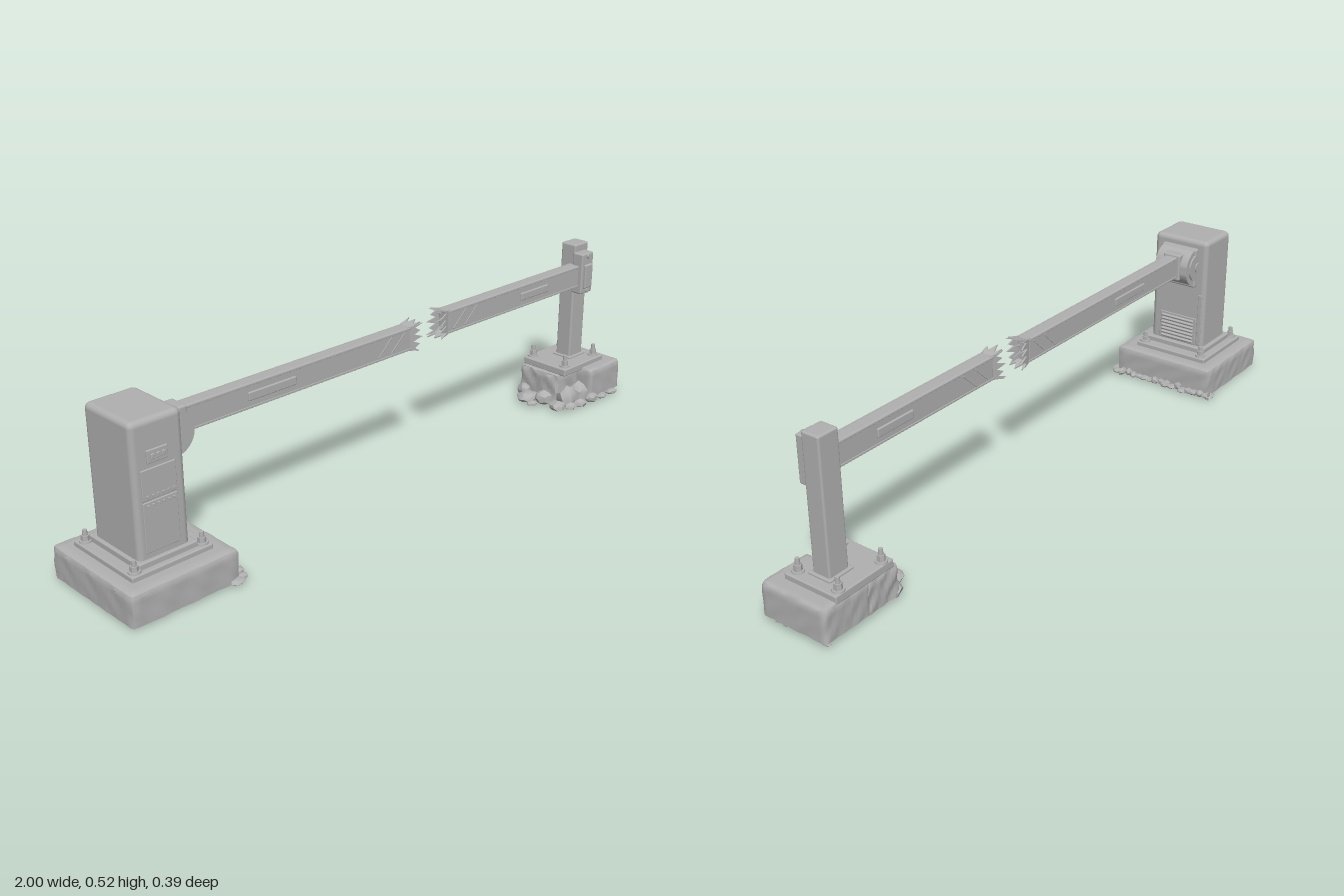
import * as THREE from 'three';
import { toCreasedNormals } from 'three/addons/utils/BufferGeometryUtils.js';
import { RoundedBoxGeometry } from 'three/addons/geometries/RoundedBoxGeometry.js';

export function createModel() {
  const root = new THREE.Group();
  root.name = 'brokenBarrierGate';
  const grey = new THREE.MeshStandardMaterial({ color: 0xb0b0b0 });
  grey.name = 'plain grey';

  let seed = 7;
  const rnd = () => (seed = (seed * 16807) % 2147483647) / 2147483647;

  function add(parent, name, geo, x = 0, y = 0, z = 0) {
    const m = new THREE.Mesh(geo, grey);
    m.name = name;
    m.position.set(x, y, z);
    parent.add(m);
    return m;
  }
  function group(name) {
    const g = new THREE.Group();
    g.name = name;
    root.add(g);
    return g;
  }
  // rounded box given by its limits
  function box(parent, name, x0, x1, y0, y1, z0, z1, r = 0.004) {
    const geo = new RoundedBoxGeometry(x1 - x0, y1 - y0, z1 - z0, 2, r);
    return add(parent, name, geo, (x0 + x1) / 2, (y0 + y1) / 2, (z0 + z1) / 2);
  }
  // smooth lumpiness that depends on position only, so seams stay closed
  const lump = (x, y, z) =>
    Math.sin(x * 61 + y * 37) * Math.cos(z * 53 + y * 71) * 0.6 + Math.sin(x * 131 + z * 117 + y * 90) * 0.4;

  // concrete block with worn edges and chipped sides
  function concrete(parent, name, x0, x1, y0, y1, z0, z1, rough) {
    const w = x1 - x0, h = y1 - y0, d = z1 - z0;
    const geo = new THREE.BoxGeometry(w, h, d, 22, 8, 22);
    const p = geo.attributes.position, v = new THREE.Vector3(), c = new THREE.Vector3(), r = 0.012;
    for (let i = 0; i < p.count; i++) {
      v.fromBufferAttribute(p, i);
      const n = lump(v.x + x0, v.y, v.z);
      c.set(THREE.MathUtils.clamp(v.x, r - w / 2, w / 2 - r),
        THREE.MathUtils.clamp(v.y, -h / 2, h / 2 - r),
        THREE.MathUtils.clamp(v.z, r - d / 2, d / 2 - r));
      const off = v.clone().sub(c);
      if (off.length() > r) off.setLength(r);
      const side = Math.abs(v.x) > w / 2 - 1e-4 || Math.abs(v.z) > d / 2 - 1e-4;
      v.copy(c).add(off);
      if (side) {
        v.x *= 1 - rough * (1 - n) / w;
        v.z *= 1 - rough * (1 - n) / d;
      }
      p.setXYZ(i, v.x, v.y, v.z);
    }
    return add(parent, name, toCreasedNormals(geo, 0.6), (x0 + x1) / 2, (y0 + y1) / 2, (z0 + z1) / 2);
  }
  // angular lump of rubble
  function rock(parent, x, z, sx, sy, sz, y = sy * 0.75) {
    const geo = new THREE.IcosahedronGeometry(1, 1);
    const p = geo.attributes.position, k = rnd() * 9;
    for (let i = 0; i < p.count; i++) {
      const a = p.getX(i), b = p.getY(i), c = p.getZ(i);
      const s = 0.9 + 0.14 * Math.sin(a * 4 + k) * Math.cos(c * 5 - k + b * 3);
      p.setXYZ(i, a * s * sx, Math.max(b * s, -0.7) * sy, c * s * sz);
    }
    const m = add(parent, 'rubble', toCreasedNormals(geo, 0.5), x, y, z);
    m.rotation.y = rnd() * 0.8 - 0.4;
  }
  // anchor bolt: washer, hex nut and rounded stud
  function bolt(parent, x, y, z, h = 0.04) {
    const g = new THREE.Group();
    g.name = 'anchorBolt';
    g.position.set(x, y, z);
    parent.add(g);
    add(g, 'washer', new THREE.CylinderGeometry(0.016, 0.017, 0.006, 16), 0, 0.003, 0);
    add(g, 'nut', toCreasedNormals(new THREE.CylinderGeometry(0.011, 0.012, h * 0.55, 6), 0.5), 0, h * 0.3, 0);
    add(g, 'stud', new THREE.CylinderGeometry(0.006, 0.008, h, 12), 0, h / 2, 0);
  }

  // ---- left cabinet and its footing
  const cab = group('cabinet');
  concrete(cab, 'footing', -1, -0.675, 0, 0.09, -0.175, 0.175, 0.004);
  box(cab, 'basePlate', -0.96, -0.72, 0.085, 0.104, -0.13, 0.125);
  box(cab, 'plinth', -0.93, -0.755, 0.1, 0.12, -0.105, 0.11);
  box(cab, 'housing', -0.92, -0.77, 0.105, 0.48, -0.092, 0.1, 0.016);
  for (const x of [-0.94, -0.74]) for (const z of [-0.105, 0.105]) bolt(cab, x, 0.103, z, 0.034);
  // front door panels and control plate
  box(cab, 'upperDoor', -0.9, -0.8, 0.275, 0.355, 0.098, 0.104, 0.002);
  box(cab, 'lowerDoor', -0.9, -0.8, 0.135, 0.27, 0.098, 0.103, 0.002);
  box(cab, 'controlPlate', -0.88, -0.82, 0.368, 0.402, 0.098, 0.105, 0.002);
  for (const x of [-0.865, -0.849, -0.833]) box(cab, 'button', x - 0.005, x + 0.005, 0.378, 0.392, 0.103, 0.108, 0.002);
  for (const y of [0.26, 0.285]) for (let i = 0; i < 6; i++)
    box(cab, 'doorRib', -0.89 + i * 0.015, -0.882 + i * 0.015, y - 0.003, y + 0.003, 0.101, 0.106, 0.001);
  // vent grille on the inner side
  box(cab, 'ventFrame', -0.772, -0.767, 0.122, 0.215, -0.066, 0.068, 0.002);
  for (let i = 0; i < 7; i++) {
    const slat = box(cab, 'ventSlat', -0.77, -0.761, 0.128 + i * 0.012, 0.135 + i * 0.012, -0.058, 0.06, 0.002);
    slat.rotation.z = -0.4;
  }
  box(cab, 'sidePanel', -0.772, -0.767, 0.125, 0.3, -0.084, -0.07, 0.002);

  // ---- pivot drum carrying the arm
  const pivot = group('pivot');
  box(pivot, 'pivotMount', -0.79, -0.755, 0.325, 0.455, -0.06, 0.066, 0.006);
  const drum = (name, r, z0, z1) => {
    const m = add(pivot, name, toCreasedNormals(new THREE.CylinderGeometry(r, r, z1 - z0, 40), 0.6), -0.768, 0.393, (z0 + z1) / 2);
    m.rotation.x = Math.PI / 2;
  };
  drum('drum', 0.06, -0.055, 0.06);
  drum('drumCap', 0.044, -0.06, 0.066);
  drum('drumHub', 0.015, -0.064, 0.071);
  box(pivot, 'armSocket', -0.76, -0.705, 0.357, 0.444, -0.03, 0.03, 0.006);

  // ---- one half of the arm, with its torn end toward "tip"
  function arm(name, x0, x1, yc, tip, p0, p1) {
    const g = group(name), h = 0.035, d = 0.02;
    box(g, 'beam', x0, x1, yc - h, yc + h, -d, d, 0.006);
    for (const s of [-1, 1]) {
      box(g, 'edgeRail', x0, x1, yc + s * (h - 0.004) - 0.003, yc + s * (h - 0.004) + 0.003, -d - 0.002, d + 0.002, 0.001);
      box(g, 'lampPlate', p0, p1, yc - 0.012, yc + 0.012, s * (d + 0.001) - 0.004, s * (d + 0.001) + 0.004, 0.003);
      // bent sheet creases close to the break
      const end = tip > 0 ? x1 : x0;
      for (const o of [0.05, 0.1]) {
        const c = box(g, 'crease', -0.036, 0.036, -0.0025, 0.0025, -0.0015, 0.0015, 0.001);
        c.position.set(end - tip * o, yc, s * d);
        c.rotation.z = 0.75;
      }
    }
    // four torn walls, each a zigzag sheet bent outward
    const walls = [[0, h, d], [Math.PI / 2, d, h], [Math.PI, h, d], [-Math.PI / 2, d, h]];
    walls.forEach(([angle, half, reach], k) => {
      const s = new THREE.Shape();
      s.moveTo(-0.012, -half);
      const teeth = half > 0.03 ? 4 : 2;
      for (let i = 0; i <= teeth * 2; i++) {
        const len = i % 2 ? 0.006 + rnd() * 0.012 : 0.027 + rnd() * 0.018;
        s.lineTo(len, -half * 1.15 + (half * 2.3 * i) / (teeth * 2));
      }
      s.lineTo(-0.012, half);
      s.closePath();
      const geo = new THREE.ExtrudeGeometry(s, { depth: 0.004, bevelEnabled: false });
      geo.translate(0, 0, -0.004);
      geo.rotateY(-0.22 - 0.06 * (k % 2));
      geo.translate(0, 0, reach);
      geo.rotateX(angle);
      if (tip < 0) geo.rotateY(Math.PI);
      add(g, 'tornSheet', geo, tip > 0 ? x1 : x0, yc, 0);
    });
    // splinters sticking out of the break
    for (let i = 0; i < 5; i++) {
      const c = add(g, 'splinter', new THREE.ConeGeometry(0.005, 0.04, 4),
        (tip > 0 ? x1 : x0) + tip * 0.012, yc + (i - 2) * 0.013, (i % 2 ? 1 : -1) * 0.01);
      c.rotation.z = -tip * (Math.PI / 2 - (i - 2) * 0.2);
    }
  }
  arm('leftArm', -0.74, 0.08, 0.402, 1, -0.51, -0.35);
  arm('rightArm', 0.235, 0.89, 0.411, -1, 0.56, 0.69);

  // ---- right rest post and its broken footing
  const rest = group('restPost');
  concrete(rest, 'footing', 0.84, 1, 0.012, 0.108, -0.115, 0.1, 0.003);
  concrete(rest, 'brokenFooting', 0.735, 0.86, 0.01, 0.102, -0.115, 0.045, 0.007);
  box(rest, 'basePlate', 0.755, 0.955, 0.1, 0.124, -0.113, 0.058);
  box(rest, 'post', 0.85, 0.916, 0.12, 0.51, -0.056, 0, 0.006);
  box(rest, 'postCollar', 0.842, 0.924, 0.12, 0.13, -0.064, 0.008, 0.003);
  for (const x of [0.782, 0.93]) for (const z of [-0.097, 0.035]) bolt(rest, x, 0.122, z);
  // cradle that grips the arm
  box(rest, 'cradle', 0.845, 0.902, 0.353, 0.486, -0.005, 0.034, 0.005);
  box(rest, 'cradleFace', 0.855, 0.892, 0.372, 0.45, 0.03, 0.042, 0.004);
  for (const y of [0.362, 0.476]) {
    const c = add(rest, 'cradleScrew', new THREE.CylinderGeometry(0.007, 0.007, 0.008, 10), 0.874, y, 0.036);
    c.rotation.x = Math.PI / 2;
  }

  // ---- rubble around both footings
  const rubble = group('rubblePile');
  for (let i = 0; i < 17; i++)
    rock(rubble, -0.675 + rnd() * 0.01, -0.17 + i * 0.021, 0.012 + rnd() * 0.012, 0.006 + rnd() * 0.008, 0.012 + rnd() * 0.006);
  rock(rubble, -0.69, 0.178, 0.024, 0.008, 0.018);
  rock(rubble, -0.68, -0.178, 0.022, 0.008, 0.018);
  const shard = add(rubble, 'shard', new THREE.ConeGeometry(0.007, 0.04, 4), -0.668, 0.016, -0.183);
  shard.rotation.x = -0.3;
  for (const [x, z, sx, sy, sz] of [
    [0.705, -0.05, 0.042, 0.02, 0.034], [0.725, 0.0, 0.03, 0.028, 0.03], [0.715, 0.065, 0.03, 0.018, 0.028],
    [0.765, 0.06, 0.034, 0.04, 0.034], [0.815, 0.07, 0.034, 0.044, 0.036], [0.79, 0.1, 0.024, 0.016, 0.02],
    [0.85, 0.1, 0.026, 0.018, 0.02], [0.9, 0.104, 0.022, 0.01, 0.016], [0.95, 0.106, 0.024, 0.01, 0.014],
    [0.74, -0.09, 0.026, 0.026, 0.028], [0.75, 0.09, 0.022, 0.014, 0.02], [0.685, -0.015, 0.02, 0.01, 0.018]])
    rock(rubble, x, z, sx, sy, sz);
  for (let i = 0; i < 8; i++) rock(rubble, 0.975 + rnd() * 0.008, -0.1 + i * 0.026, 0.014, 0.008, 0.015);
  return root;
}
